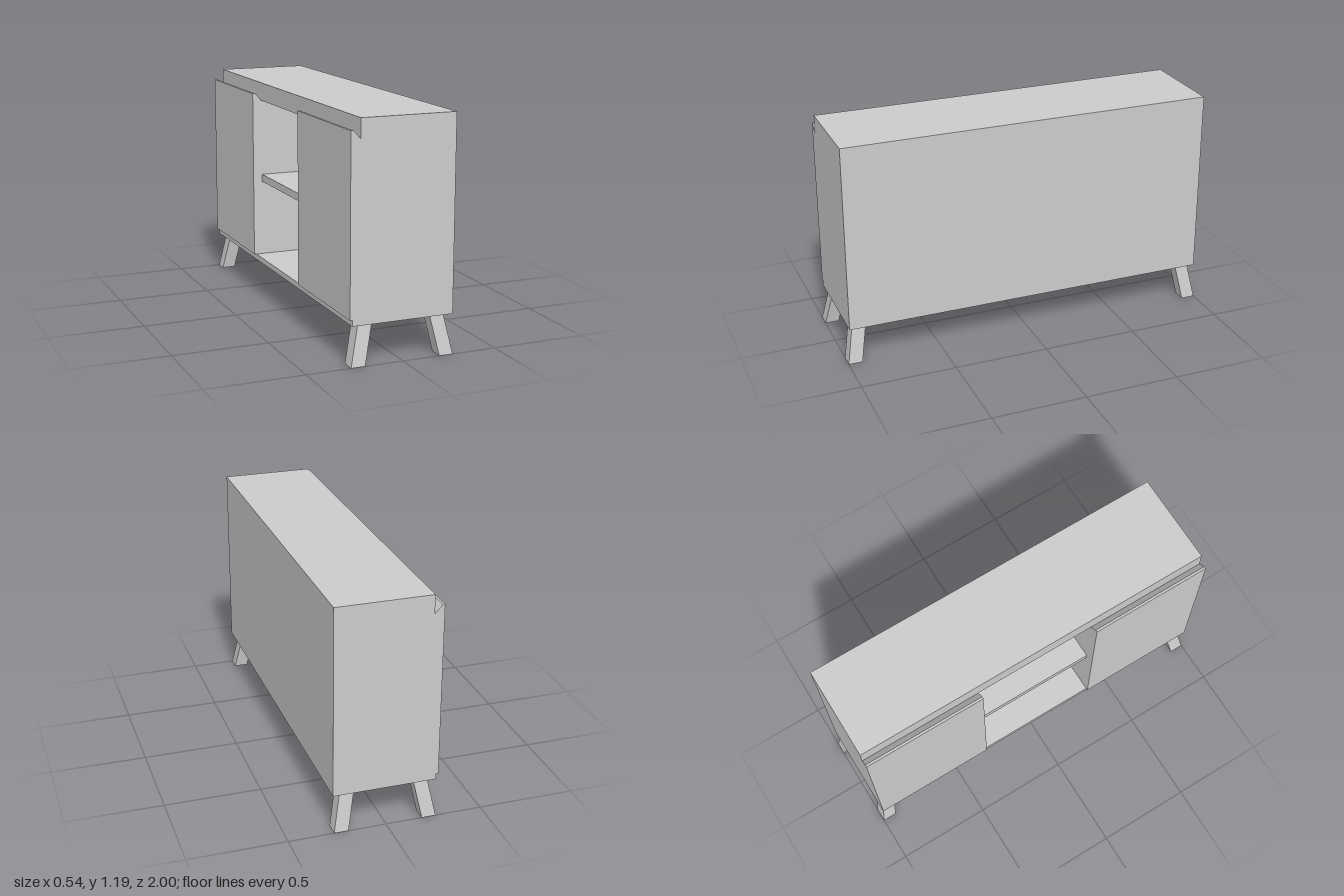
import * as THREE from 'three';

const material = new THREE.MeshStandardMaterial({ color: 0xcccccc, flatShading: true });
const HALF = 0.987;   // half length of the cabinet
const OPEN = 0.33;    // half width of the open middle bay
const T = 0.03;       // panel thickness

export function createModel() {
  const model = new THREE.Group();
  model.name = 'sideboard';

  const add = (name, geometry) => {
    const mesh = new THREE.Mesh(geometry, material);
    mesh.name = name;
    model.add(mesh);
    return mesh;
  };
  // Box given by its limits on each axis
  const panel = (name, x0, x1, y0, y1, z0, z1) => add(name,
    new THREE.BoxGeometry(x1 - x0, y1 - y0, z1 - z0)
      .translate((x0 + x1) / 2, (y0 + y1) / 2, (z0 + z1) / 2));

  // Carcass
  panel('topPanel', -0.222, 0.27, 1.09, 1.187, -HALF, HALF);
  panel('bottomPanel', -0.26, 0.27, 0.2, 0.23, -HALF, HALF);
  panel('backPanel', 0.27 - T, 0.27, 0.23, 1.09, -HALF, HALF);
  panel('middleShelf', -0.222, 0.27 - T, 0.64, 0.68, -OPEN, OPEN);

  // Door section with a sloped finger grip along its top edge
  const doorShape = new THREE.Shape([
    [-0.272, 0.23], [-0.222, 0.23], [-0.222, 1.09], [-0.26, 1.13], [-0.272, 1.13],
  ].map(([x, y]) => new THREE.Vector2(x, y)));

  for (const s of [-1, 1]) {
    const side = s > 0 ? 'front' : 'back';
    const span = (a, b) => [Math.min(s * a, s * b), Math.max(s * a, s * b)];
    panel(side + 'EndPanel', -0.222, 0.27 - T, 0.23, 1.09, ...span(HALF - T, HALF));
    panel(side + 'Divider', -0.222, 0.27 - T, 0.23, 1.09, ...span(OPEN, OPEN + T));

    const door = new THREE.ExtrudeGeometry(doorShape, { depth: HALF - OPEN, bevelEnabled: false });
    door.translate(0, 0, span(OPEN, HALF)[0]);
    add(side + 'Door', door);
  }

  // Splayed legs: boxes sheared outwards towards the floor
  const leg = (name, x, z, dx, dz) => {
    const geometry = new THREE.BoxGeometry(0.073, 0.2, 0.073);
    const p = geometry.attributes.position;
    for (let i = 0; i < p.count; i++) {
      const k = p.getY(i) < 0 ? 1 : 0;
      p.setXYZ(i, p.getX(i) + x + k * dx, p.getY(i) + 0.1, p.getZ(i) + z + k * dz);
    }
    geometry.computeVertexNormals();
    add(name, geometry);
  };
  for (const s of [-1, 1]) {
    const side = s > 0 ? 'front' : 'back';
    leg(side + 'LeftLeg', 0.193, s * 0.927, 0.038, s * 0.037);
    leg(side + 'RightLeg', -0.186, s * 0.927, s > 0 ? -0.049 : -0.038, s * 0.037);
  }

  return model;
}
